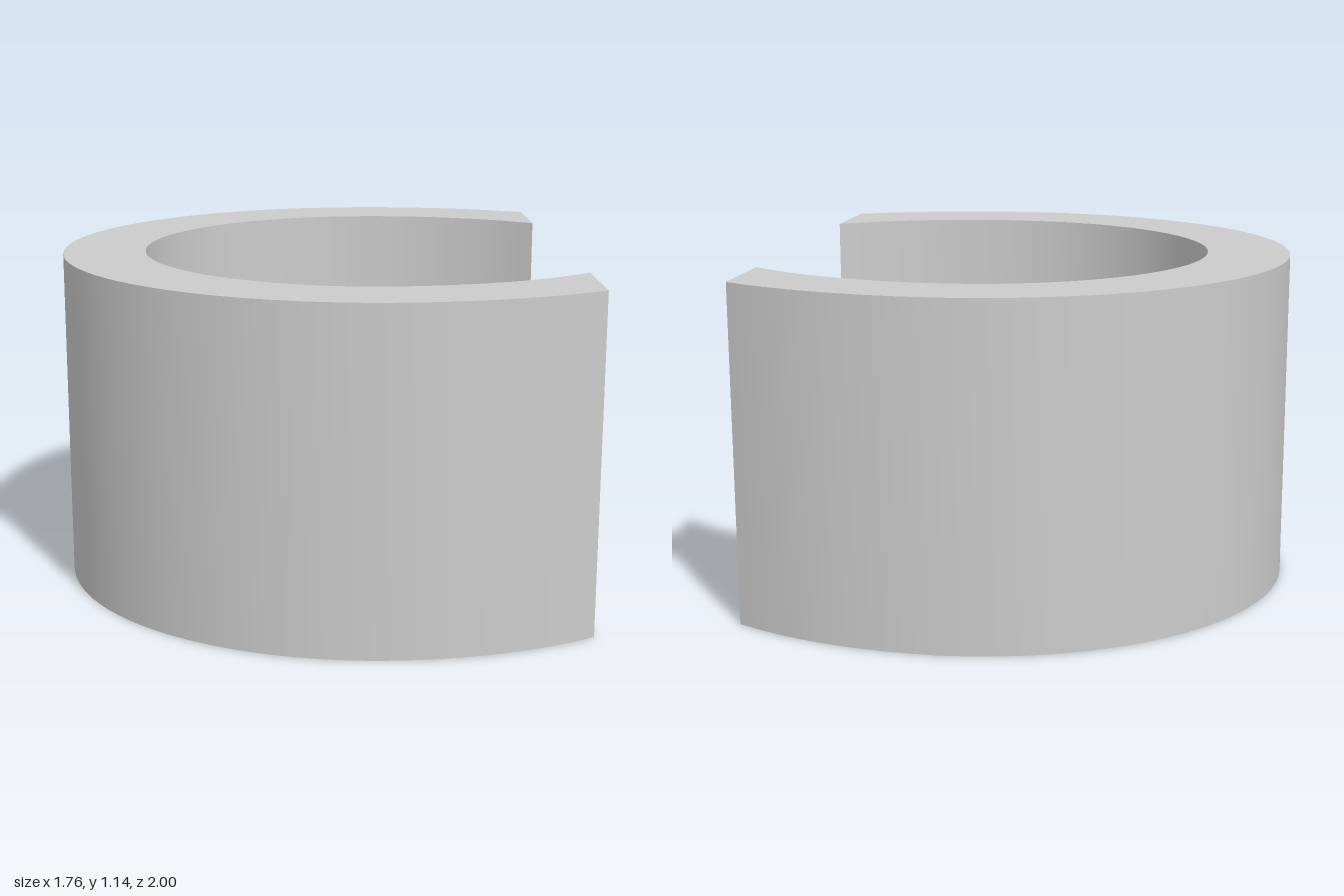
import * as THREE from 'three';
import { toCreasedNormals } from 'three/addons/utils/BufferGeometryUtils.js';

const HEIGHT = 1.145;
const CENTRE_X = 0.2;
const BACK_END = 0.855; // x where the rear arm is cut
const FRONT_END = 0.877; // x where the front arm is cut

// One wall of the open ring, from the rear arm round the left to the front arm.
// The closed side is rounder, the open side is stretched along x.
function wall({ left, right, back, front }) {
  const steps = 64;
  const a0 = Math.acos((BACK_END - CENTRE_X) / right);
  const a1 = 2 * Math.PI - Math.acos((FRONT_END - CENTRE_X) / right);
  const points = [];
  for (let i = 0; i <= steps; i++) {
    const a = a0 + ((a1 - a0) * i) / steps;
    const c = Math.cos(a), s = Math.sin(a);
    points.push(new THREE.Vector2(
      CENTRE_X + c * (c > 0 ? right : left),
      s * (s > 0 ? back : front)
    ));
  }
  return points;
}

export function createModel() {
  const model = new THREE.Group();
  model.name = 'openCuff';

  // C-shaped plan: outer wall out, inner wall back
  const outer = wall({ left: 1.08, right: 1.208, back: 1.0, front: 1.0 });
  const inner = wall({ left: 0.795, right: 0.951, back: 0.75, front: 0.74 });
  const plan = new THREE.Shape([...outer, ...inner.reverse()]);

  // Raise the plan into a band, smooth round the walls and sharp at the edges
  let band = new THREE.ExtrudeGeometry(plan, { depth: HEIGHT, bevelEnabled: false });
  band.rotateX(-Math.PI / 2);
  band = toCreasedNormals(band, 0.6);

  const mesh = new THREE.Mesh(band, new THREE.MeshStandardMaterial({ color: 0xcccccc }));
  mesh.name = 'cuffBand';
  model.add(mesh);
  return model;
}
